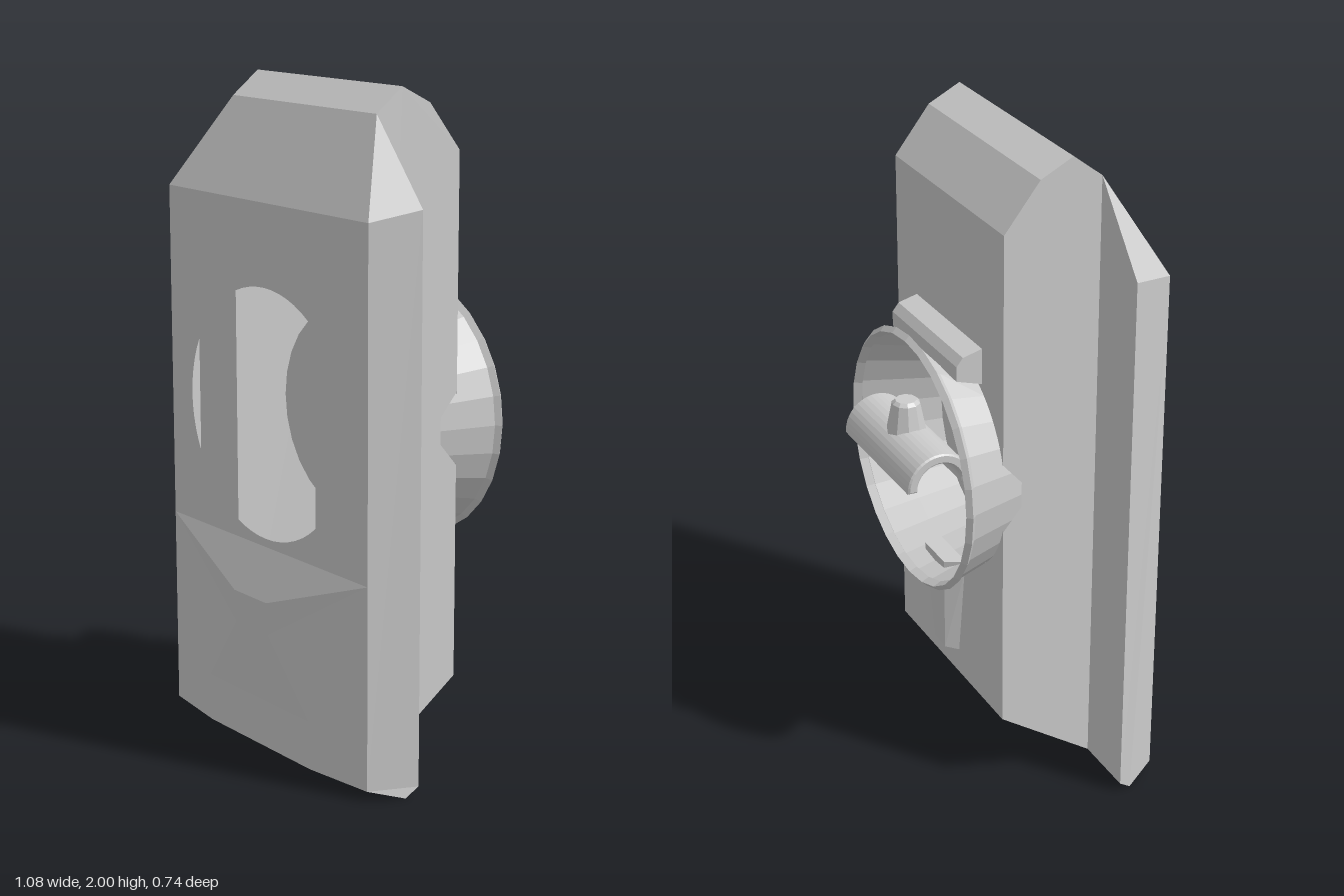
import * as THREE from 'three';

const mat = new THREE.MeshStandardMaterial({ color: 0xcccccc, flatShading: true, side: THREE.DoubleSide });

export function createModel() {
  const model = new THREE.Group();
  const add = (name, geo, x = 0, y = 0, z = 0) => {
    const m = new THREE.Mesh(geo, mat);
    m.name = name;
    m.position.set(x, y, z);
    model.add(m);
    return m;
  };

  // Flat panels from corner lists, each fanned into triangles
  const panels = (name, polys) => {
    const pos = [];
    for (const p of polys)
      for (let i = 1; i < p.length - 1; i++) pos.push(...p[0], ...p[i], ...p[i + 1]);
    const g = new THREE.BufferGeometry();
    g.setAttribute('position', new THREE.Float32BufferAttribute(pos, 3));
    g.computeVertexNormals();
    return add(name, g);
  };
  const flip = ([x, y, z]) => [-x, y, z];
  const mirror = (polys) => [...polys, ...polys.map((p) => p.map(flip).reverse())];
  // Strip across the full width between two right-hand points
  const strip = (a, b) => [flip(a), a, b, flip(b)];
  const shapeOf = (pts) => new THREE.Shape(pts.map(([x, y]) => new THREE.Vector2(x, y)));

  // Front face with the round entrance
  const face = shapeOf([[-0.48, 0.64], [0.48, 0.64], [0.48, 1.66], [-0.48, 1.66]]);
  face.holes.push(new THREE.Path().absarc(0, 1.04, 0.375, 0, Math.PI * 2, true));
  add('frontFace', new THREE.ShapeGeometry(face, 32), 0, 0, 0.31);

  // Raised relief below the entrance
  const A = [0.48, 0.64, 0.31], B = [0.08, 0.5, 0.37], C = [0.08, 0.4, 0.365];
  const D = [0.25, 0.18, 0.345], E = [0.25, 0.03, 0.34], F = [0.48, 0.03, 0.31];
  panels('frontRelief', [
    [flip(A), flip(B), B, A], strip(C, B), strip(D, C), strip(E, D),
    ...mirror([[A, B, C], [A, C, D], [A, D, F], [D, E, F]]),
  ]);

  // Bevelled edges and rear flange of the front plate
  const G = [0.53, 0, 0.21], H = [0.54, 0.03, 0.17], I = [0.54, 1.69, 0.17];
  const J = [0.48, 1.66, 0.31], K = [0.34, 1.93, 0.17], L = [0.34, 0.03, 0.17];
  panels('plateEdges', mirror([[F, G, H, I, J], [J, I, K], [L, K, I, H]]));
  panels('plateBottom', [[flip(G), G, F, E, flip(E), flip(F)], strip(H, G)]);

  // Roof and sloping underside of the rear housing
  const roof = [J, K, [0.34, 2, 0.08], [0.34, 1.95, -0.02], [0.34, 1.81, -0.13]];
  panels('roof', roof.slice(1).map((p, i) => strip(roof[i], p)));
  panels('underside', [strip([0.34, 0.24, -0.13], L)]);

  // Housing sides, notched where the cup breaks through
  const side = shapeOf([[0.17, 0.03], [0.17, 1.93], [0.08, 2], [-0.02, 1.95], [-0.13, 1.81],
    [-0.13, 1.11], [-0.07, 1.04], [-0.07, 0.96], [-0.13, 0.89], [-0.13, 0.24]]);
  const sideGeo = new THREE.ShapeGeometry(side).rotateY(-Math.PI / 2);
  add('rightHousingSide', sideGeo, -0.34);
  add('leftHousingSide', sideGeo, 0.34).scale.x = -1;

  // Housing back, cut round the cup
  const r = 0.355, a = Math.acos(0.34 / r);
  const upper = new THREE.Shape().moveTo(0.34, 1.81).lineTo(0.34, 1 + r * Math.sin(a));
  upper.absarc(0, 1, r, a, Math.PI - a, false).lineTo(-0.34, 1.81);
  const lower = new THREE.Shape().moveTo(-0.34, 0.24).lineTo(-0.34, 1 - r * Math.sin(a));
  lower.absarc(0, 1, r, Math.PI + a, Math.PI * 2 - a, false).lineTo(0.34, 0.24);
  for (const [name, s] of [['upperBack', upper], ['lowerBack', lower]])
    add(name, new THREE.ShapeGeometry(s, 16).rotateY(Math.PI), 0, 0, -0.13);

  // Flared cup, open to the rear, flattened at the top below its rim
  const cup = new THREE.LatheGeometry(
    [[0, 0], [0.32, 0], [0.355, -0.13], [0.385, -0.24], [0.4, -0.255], [0.385, -0.27], [0.375, -0.245]]
      .map(([x, y]) => new THREE.Vector2(x, y)), 28).rotateX(Math.PI / 2);
  const cp = cup.attributes.position;
  for (let i = 0; i < cp.count; i++) {
    const z = cp.getZ(i);
    if (z > -0.242) cp.setY(i, Math.min(cp.getY(i), 0.25 - 0.43 * z));
  }
  add('cup', cup, 0, 1, 0);

  // Clip over the cup
  const clip = shapeOf([[-0.1, 1.3], [-0.1, 1.425], [-0.13, 1.42], [-0.19, 1.405], [-0.21, 1.38], [-0.21, 1.335]]);
  add('topClip', new THREE.ExtrudeGeometry(clip, { depth: 0.42, bevelEnabled: false })
    .rotateY(-Math.PI / 2), 0.21);

  // Half-pipe handle with its stub
  const arch = new THREE.Shape().absarc(0, 0, 0.095, 0, Math.PI, false);
  arch.absarc(0, 0, 0.075, Math.PI, 0, true);
  add('handle', new THREE.ExtrudeGeometry(arch, {
    depth: 0.43, curveSegments: 10, bevelEnabled: true, bevelSize: 0.005, bevelThickness: 0.005, bevelSegments: 1,
  }).rotateY(-Math.PI / 2), 0.215, 1.02, -0.27);
  add('handleStub', new THREE.CylinderGeometry(0.042, 0.062, 0.1, 10), 0, 1.14, -0.27);
  add('handleStubCap', new THREE.CylinderGeometry(0.032, 0.042, 0.01, 10), 0, 1.195, -0.27);

  // Tapered tab under the cup
  const tab = new THREE.BoxGeometry(2, 0.34, 0.06, 1, 1, 1);
  const tp = tab.attributes.position;
  for (let i = 0; i < tp.count; i++) {
    const top = tp.getY(i) > 0, rear = tp.getZ(i) < 0;
    tp.setX(i, tp.getX(i) * (top ? 0.1 : 0.055) * (rear ? 0.65 : 1));
    if (rear) {
      tp.setZ(i, top ? -0.03 : -0.015);
      if (!top) tp.setY(i, -0.155);
    }
  }
  tab.computeVertexNormals();
  add('bottomTab', tab, 0, 0.49, -0.155);

  return model;
}
